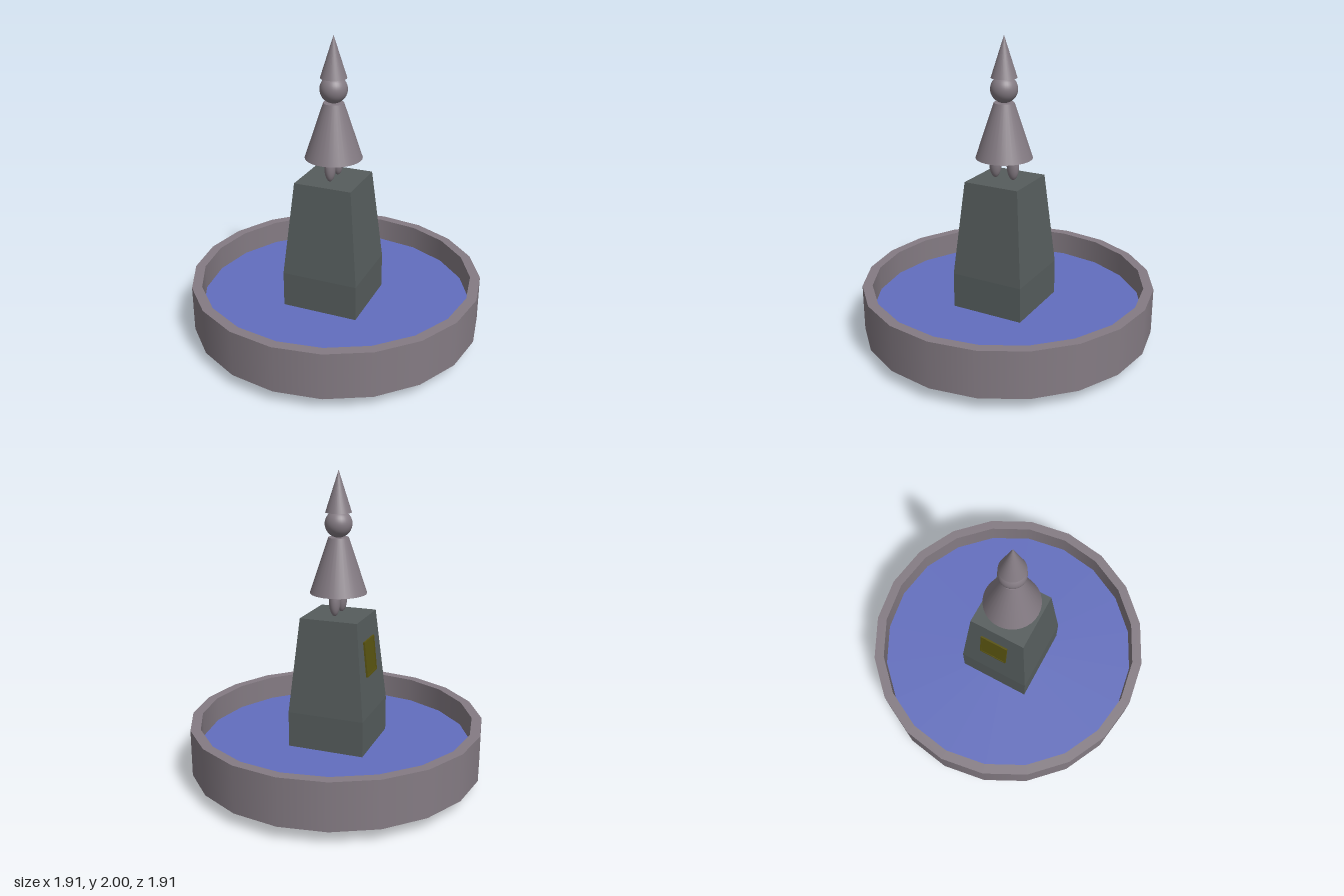
import * as THREE from 'three';
import { mergeGeometries } from 'three/addons/utils/BufferGeometryUtils.js';

export function createModel() {
  const material = (name, color) => {
    const m = new THREE.MeshStandardMaterial({ color });
    m.name = name;
    return m;
  };
  const stone = material('warm grey stone', 0x847b83);
  const slate = material('dark slate', 0x565d5d);
  const water = material('blue water', 0x626ebe);
  const bronze = material('dark olive bronze', 0x5a5410);

  const model = new THREE.Group();
  model.name = 'fountain';
  const add = (name, geometry, mat, x = 0, y = 0, z = 0, parent = model) => {
    const mesh = new THREE.Mesh(geometry, mat);
    mesh.name = name;
    mesh.position.set(x, y, z);
    parent.add(mesh);
    return mesh;
  };

  // Twenty-sided basin: each profile step is its own lathe, so rims stay crisp
  const profile = [[0, 0.09], [0.957, 0.09], [0.957, 0.397], [0.892, 0.397], [0.892, 0.22]]
    .map(([r, y]) => new THREE.Vector2(r, y));
  const bands = profile.slice(1).map((p, i) => new THREE.LatheGeometry([profile[i], p], 20));
  add('basin', mergeGeometries(bands), stone);

  // Water surface
  add('water', new THREE.CircleGeometry(0.892, 20).rotateX(-Math.PI / 2), water, 0, 0.235, 0);

  // Pedestal: straight base, tapering above the middle ring of vertices
  const box = new THREE.BoxGeometry(0.505, 1.09, 0.49, 1, 2, 1);
  const pos = box.attributes.position;
  for (let i = 0; i < pos.count; i++) {
    const y = pos.getY(i);
    if (y > 0.1) {
      pos.setX(i, Math.sign(pos.getX(i)) * 0.19);
      pos.setZ(i, Math.sign(pos.getZ(i)) * 0.1875);
    } else if (y > -0.1) pos.setY(i, 0.47 - 0.545);
  }
  const pedestal = box.toNonIndexed();
  pedestal.computeVertexNormals();
  add('pedestal', pedestal, slate, -0.006, 0.545, 0.024);

  // Plaque with a slim raised border, lying on the sloping side
  const plaque = new THREE.Group();
  plaque.name = 'plaque';
  plaque.position.set(-0.225, 0.835, 0.012);
  plaque.rotation.z = -0.1;
  model.add(plaque);
  add('plaquePlate', new THREE.BoxGeometry(0.009, 0.23, 0.19), bronze, 0, 0, 0, plaque);
  for (const s of [-1, 1]) {
    add('plaqueBorder', new THREE.BoxGeometry(0.006, 0.012, 0.19), bronze, -0.005, s * 0.109, 0, plaque);
    add('plaqueBorder', new THREE.BoxGeometry(0.006, 0.206, 0.012), bronze, -0.005, 0, s * 0.089, plaque);
  }

  // Statue
  const statue = new THREE.Group();
  statue.name = 'statue';
  statue.position.set(-0.004, 0, 0.029);
  model.add(statue);
  for (const s of [-1, 1]) {
    const leg = add('leg', new THREE.SphereGeometry(1, 24, 16), stone, 0.002, 1.185, s * 0.064, statue);
    leg.scale.set(0.035, 0.095, 0.041);
  }
  add('robe', new THREE.CylinderGeometry(0.065, 0.183, 0.355, 32), stone, 0, 1.4075, 0, statue);
  add('head', new THREE.SphereGeometry(0.087, 32, 20), stone, 0, 1.67, 0, statue);
  add('hat', new THREE.ConeGeometry(0.083, 0.26, 32), stone, 0, 1.87, 0, statue);

  return model;
}
